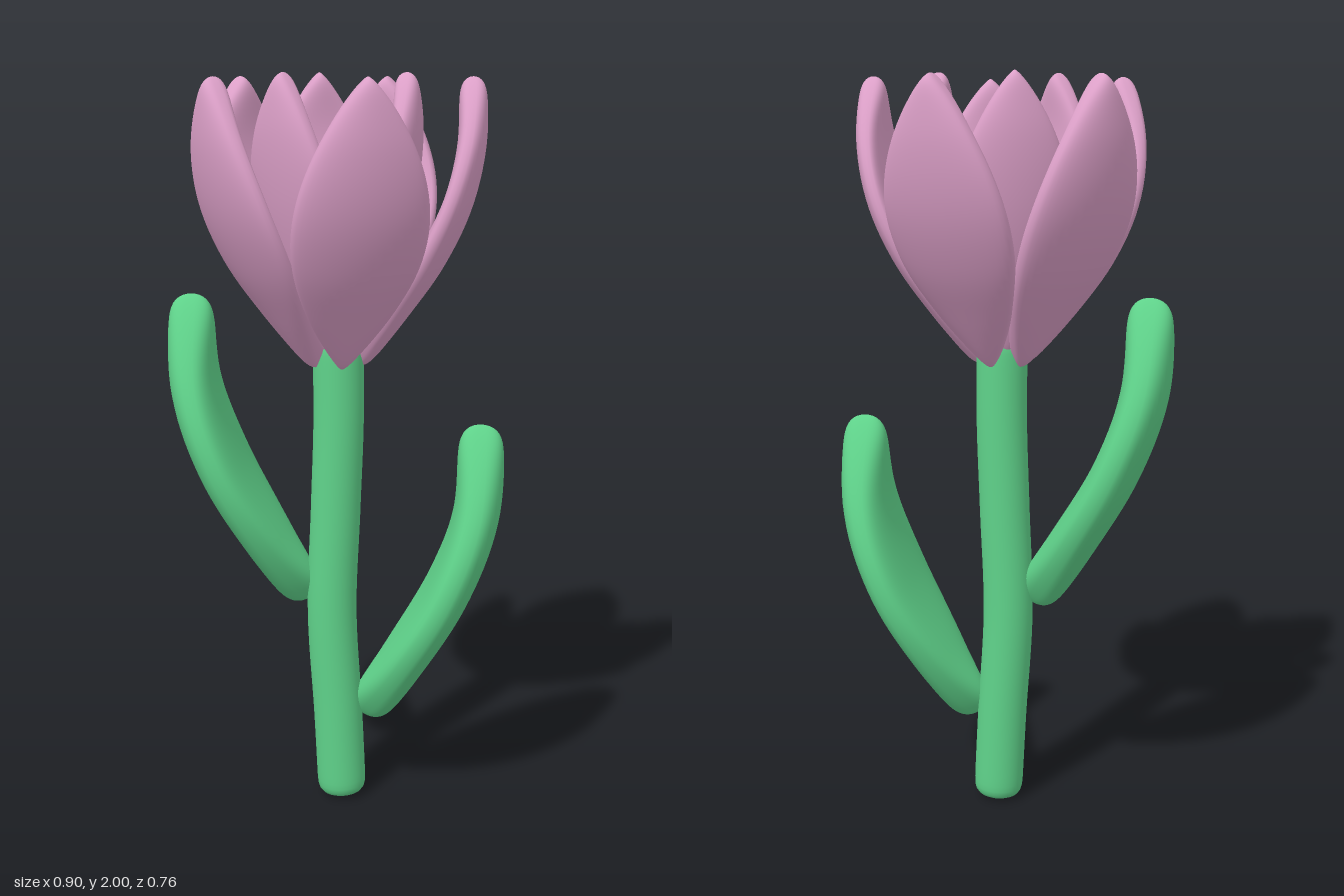
import * as THREE from 'three';

const PINK = new THREE.MeshStandardMaterial({ color: 0xdca0c8 });
const GREEN = new THREE.MeshStandardMaterial({ color: 0x5fd28a });

// Sweeps a rounded section along a path in the xy plane.
// width(u) is the half size along z, thick(u) the half size across the path.
function loft(path, width, thick, { square = 1, cup = 0, rings = 48, sides = 40 } = {}) {
  const curve = new THREE.CatmullRomCurve3(path.map(([x, y]) => new THREE.Vector3(x, y, 0)));
  const pos = [], index = [];
  for (let i = 0; i <= rings; i++) {
    const u = (1 - Math.cos((Math.PI * i) / rings)) / 2; // denser rings near both ends
    const p = curve.getPointAt(u), t = curve.getTangentAt(u);
    const w = width(u), h = thick(u);
    for (let j = 0; j < sides; j++) {
      const a = (2 * Math.PI * j) / sides, c = Math.cos(a), s = Math.sin(a);
      const n = h * Math.sign(s) * Math.abs(s) ** square - cup * (w * c) ** 2;
      pos.push(p.x + t.y * n, p.y - t.x * n, w * c);
      if (i < rings) {
        const k = (j + 1) % sides, A = i * sides + j, B = i * sides + k;
        index.push(A, B, A + sides, B, B + sides, A + sides);
      }
    }
  }
  const g = new THREE.BufferGeometry();
  g.setAttribute('position', new THREE.Float32BufferAttribute(pos, 3));
  g.setIndex(index);
  g.computeVertexNormals();
  return g;
}

// Full size along the middle, rounded off at both ends; a higher k is a tighter rounding.
const capped = (size, k) => (u) => size * Math.sqrt(Math.max(0, 1 - Math.abs(2 * u - 1) ** k));

// Leaf outline: zero at both ends, widest slightly past the middle.
const leafy = (size, skew) => (u) =>
  size * Math.max(0, Math.sin(Math.PI * Math.min(1, u ** skew))) ** 0.8;

export function createModel() {
  const model = new THREE.Group();
  const add = (name, geometry, material, angle = 0, y = 0) => {
    const mesh = new THREE.Mesh(geometry, material);
    mesh.name = name;
    mesh.rotation.y = -THREE.MathUtils.degToRad(angle);
    mesh.position.y = y;
    model.add(mesh);
    return mesh;
  };

  // Gently bent stem
  add('stem', loft(
    [[0.017, 0], [0.005, 0.25], [-0.012, 0.55], [-0.002, 0.85], [0.006, 1.1], [0.004, 1.33]],
    capped(0.068, 60), capped(0.068, 60)), GREEN);

  // Two thick leaves, the right one higher up
  const leaf = loft(
    [[0.075, 0.245], [0.19, 0.42], [0.31, 0.63], [0.38, 0.84], [0.39, 1.09]],
    leafy(0.175, 1), capped(0.063, 16), { square: 0.75, cup: 0.3 });
  add('leftLeaf', leaf, GREEN);
  add('rightLeaf', leaf, GREEN, 180, 0.34);

  // Five outer petals
  const outer = loft(
    [[0.045, 1.25], [0.16, 1.4], [0.25, 1.53], [0.315, 1.67], [0.347, 1.82], [0.347, 1.99]],
    leafy(0.172, 1.1), capped(0.037, 18), { square: 0.7, cup: 0.7 });
  for (let i = 0; i < 5; i++) add('outerPetal' + (i + 1), outer, PINK, i * 72);

  // Three inner petals
  const inner = loft(
    [[0.025, 1.27], [0.08, 1.42], [0.135, 1.56], [0.172, 1.7], [0.19, 1.85], [0.182, 2]],
    leafy(0.148, 1.1), capped(0.033, 18), { square: 0.7, cup: 0.9 });
  for (let i = 0; i < 3; i++) add('innerPetal' + (i + 1), inner, PINK, 10 + i * 120);

  // Rounded bud in the middle
  add('bud', new THREE.SphereGeometry(0.115, 40, 28), PINK, 0, 1.6).scale.y = 2.1;

  return model;
}
